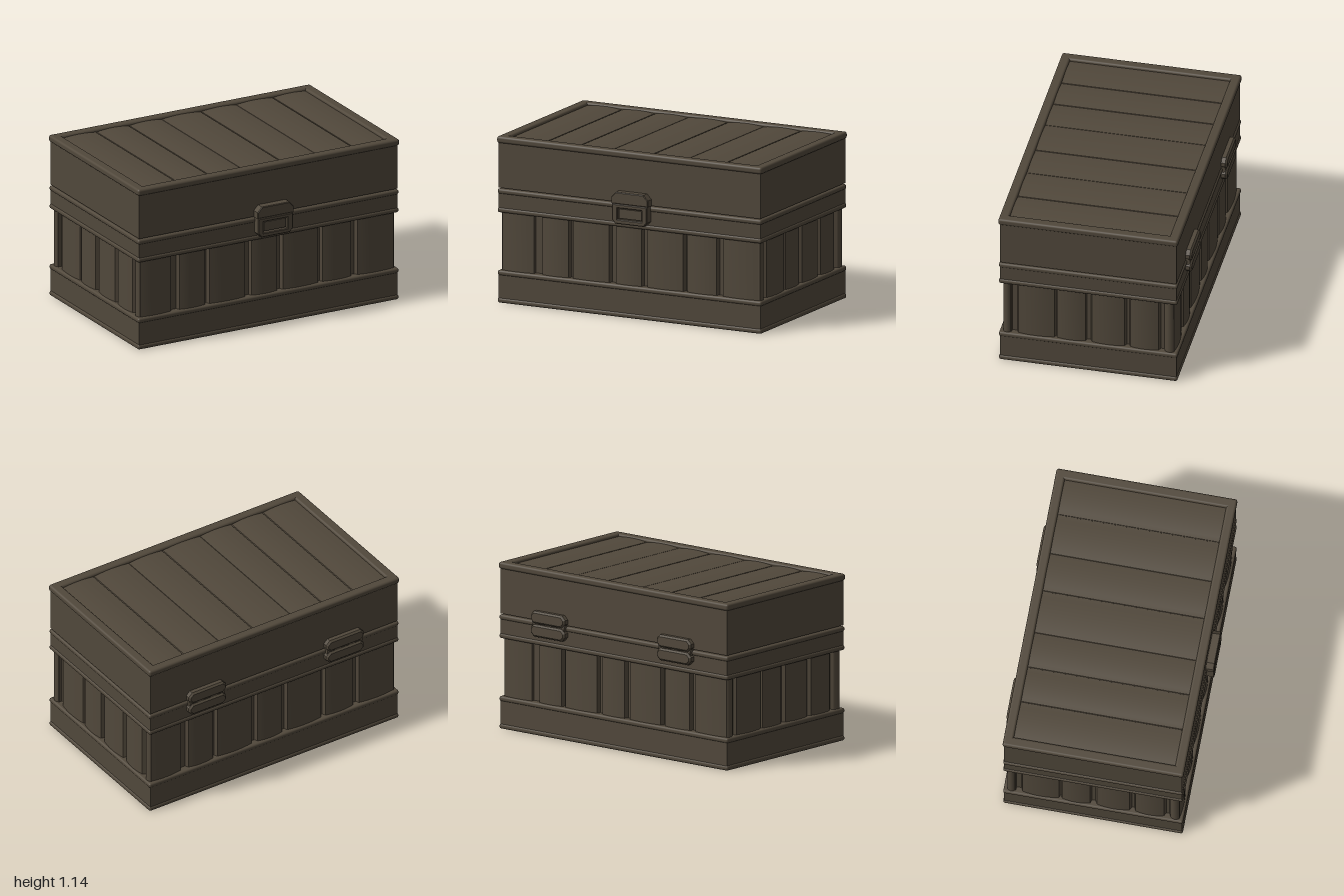
import * as THREE from 'three';
import { toCreasedNormals } from 'three/addons/utils/BufferGeometryUtils.js';
import { RoundedBoxGeometry } from 'three/addons/geometries/RoundedBoxGeometry.js';

const CZ = -0.008; // chest body sits slightly behind the centre
const wood = new THREE.MeshStandardMaterial({ color: 0x51483b });
wood.name = 'dark wood';

function add(parent, name, geometry, x = 0, y = 0, z = 0) {
  const mesh = new THREE.Mesh(geometry, wood);
  mesh.name = name;
  mesh.position.set(x, y, z);
  parent.add(mesh);
  return mesh;
}

// Box between two heights, given its half width and half depth
function slab(parent, name, hx, hz, y0, y1, radius = 0) {
  const size = [hx * 2, y1 - y0, hz * 2];
  const geo = radius ? new RoundedBoxGeometry(...size, 3, radius) : new THREE.BoxGeometry(...size);
  return add(parent, name, geo, 0, (y0 + y1) / 2, CZ);
}

// Row of bowed planks as one profile; seams are [centre, width] in ascending order
function plankRow(end, seams, top, floor, bow, length) {
  const edges = [[-end, 0], ...seams, [end, 0]];
  const pts = [new THREE.Vector2(-end, floor - 0.03)];
  for (let i = 0; i < edges.length - 1; i++) {
    const a = edges[i][0] + edges[i][1] / 2;
    const b = edges[i + 1][0] - edges[i + 1][1] / 2;
    const inset = Math.min(0.012, edges[i + 1][1] / 3);
    if (edges[i][1]) pts.push(new THREE.Vector2(a - inset, floor));
    for (let k = 0; k <= 8; k++) {
      const t = k / 8;
      pts.push(new THREE.Vector2(a + (b - a) * t, top - bow * (2 * t - 1) ** 2));
    }
    if (edges[i + 1][1]) pts.push(new THREE.Vector2(b + inset, floor));
  }
  pts.push(new THREE.Vector2(end, floor - 0.03));
  const geo = new THREE.ExtrudeGeometry(new THREE.Shape(pts), { depth: length, bevelEnabled: false });
  return toCreasedNormals(geo, 0.35);
}

// Rectangle with cut corners, centred on the origin
function cutRect(w, h, c) {
  const x = w / 2, y = h / 2;
  return new THREE.Shape([
    [-x + c, -y], [x - c, -y], [x, -y + c], [x, y - c],
    [x - c, y], [-x + c, y], [-x, y - c], [-x, -y + c],
  ].map(p => new THREE.Vector2(...p)));
}

function plate(shape, depth, bevel) {
  return new THREE.ExtrudeGeometry(shape, {
    depth: depth - bevel, bevelEnabled: bevel > 0, bevelThickness: bevel,
    bevelSize: bevel, bevelOffset: -bevel, bevelSegments: 1,
  });
}

// Plain band with a rounded bead along its lower and upper edge
function band(parent, name, y0, y1) {
  const group = new THREE.Group();
  group.name = name;
  slab(group, name + 'Wall', 0.988, 0.602, y0 + 0.005, y1 - 0.005);
  slab(group, name + 'LowerBead', 0.997, 0.609, y0, y0 + 0.034, 0.014);
  slab(group, name + 'UpperBead', 0.997, 0.609, y1 - 0.034, y1, 0.014);
  parent.add(group);
}

function hinge(x) {
  const group = new THREE.Group();
  group.name = 'hinge';
  for (const y of [0.813, 0.722]) {
    add(group, 'hingeLeaf', plate(cutRect(0.3, 0.084, 0.028), 0.044, 0.012), 0, y, 0);
  }
  // Knuckles bridge the two leaves, leaving gaps between them
  for (const kx of [-0.11, 0, 0.11]) {
    const pin = new THREE.CylinderGeometry(0.026, 0.026, 0.06, 10).rotateZ(Math.PI / 2);
    add(group, 'hingeKnuckle', pin, kx, 0.768, 0.008);
  }
  add(group, 'hingePin', new THREE.CylinderGeometry(0.012, 0.012, 0.28, 8).rotateZ(Math.PI / 2), 0, 0.768, 0.008);
  group.rotation.y = Math.PI;
  group.position.set(x, 0, -0.606);
  return group;
}

export function createModel() {
  const chest = new THREE.Group();
  chest.name = 'chest';

  // Bottom and middle bands, with the hidden core between them
  slab(chest, 'core', 0.94, 0.55, 0.03, 1.08);
  band(chest, 'baseBand', 0, 0.222);
  band(chest, 'upperBand', 0.618, 0.78);

  // Upright planks around the four sides
  const longSeams = [[-0.67, 0.05], [-0.41, 0.035], [-0.1, 0.045], [0.14, 0.05], [0.455, 0.035], [0.7, 0.065]];
  const shortSeams = [[-0.5, 0.045], [-0.265, 0.04], [0, 0.045], [0.225, 0.02], [0.505, 0.05]];
  const long = plankRow(0.972, longSeams, 0.594, 0.556, 0.013, 0.45).rotateX(-Math.PI / 2);
  const short = plankRow(0.583, shortSeams, 0.983, 0.946, 0.013, 0.45).rotateX(-Math.PI / 2);
  const sides = [['backPlanks', long, 0], ['frontPlanks', long, Math.PI],
    ['leftPlanks', short, -Math.PI / 2], ['rightPlanks', short, Math.PI / 2]];
  for (const [name, geo, turn] of sides) {
    add(chest, name, geo, 0, 0.195, CZ).rotation.y = turn;
  }

  // Lid walls, raised rim and planked top
  const lid = new THREE.Group();
  lid.name = 'lid';
  slab(lid, 'lidWall', 0.988, 0.602, 0.787, 1.1);
  for (const s of [-1, 1]) {
    add(lid, 'lidRimLong', new RoundedBoxGeometry(2, 0.046, 0.066, 3, 0.016), 0, 1.116, CZ + s * 0.58);
    add(lid, 'lidRimShort', new RoundedBoxGeometry(0.07, 0.046, 1.226, 3, 0.016), s * 0.965, 1.116, CZ);
  }
  const topSeams = [[-0.67, 0.008], [-0.42, 0.008], [-0.17, 0.004], [0.13, 0.008], [0.4, 0.004], [0.68, 0.008]];
  add(lid, 'lidPlanks', plankRow(0.94, topSeams, 1.128, 1.112, 0.009, 1.12), 0, 0, CZ - 0.56);
  chest.add(lid);

  // Front latch: hasp on the lid and a framed lock below it
  const latch = new THREE.Group();
  latch.name = 'latch';
  const hasp = new THREE.Shape([
    [-0.138, 0], [0.138, 0], [0.138, 0.045], [0.105, 0.08], [-0.105, 0.08], [-0.138, 0.045],
  ].map(p => new THREE.Vector2(...p)));
  add(latch, 'hasp', plate(hasp, 0.06, 0.005), 0, 0.786, 0.59);
  const lock = new THREE.Shape([
    [-0.133, 0.135], [-0.133, 0.028], [-0.108, 0], [0.108, 0], [0.133, 0.028], [0.133, 0.135],
  ].map(p => new THREE.Vector2(...p)));
  lock.holes.push(new THREE.Path([
    [-0.092, 0.03], [-0.092, 0.108], [0.092, 0.108], [0.092, 0.03],
  ].map(p => new THREE.Vector2(...p))));
  add(latch, 'lockFrame', plate(lock, 0.06, 0.005), 0, 0.65, 0.59);
  add(latch, 'lockPanel', new THREE.BoxGeometry(0.17, 0.064, 0.046), 0, 0.719, 0.613);
  add(latch, 'lockBacking', new THREE.BoxGeometry(0.2, 0.1, 0.03), 0, 0.72, 0.605);
  latch.position.x = 0.027;
  chest.add(latch);

  // Back hinges
  chest.add(hinge(-0.55), hinge(0.55));
  return chest;
}
